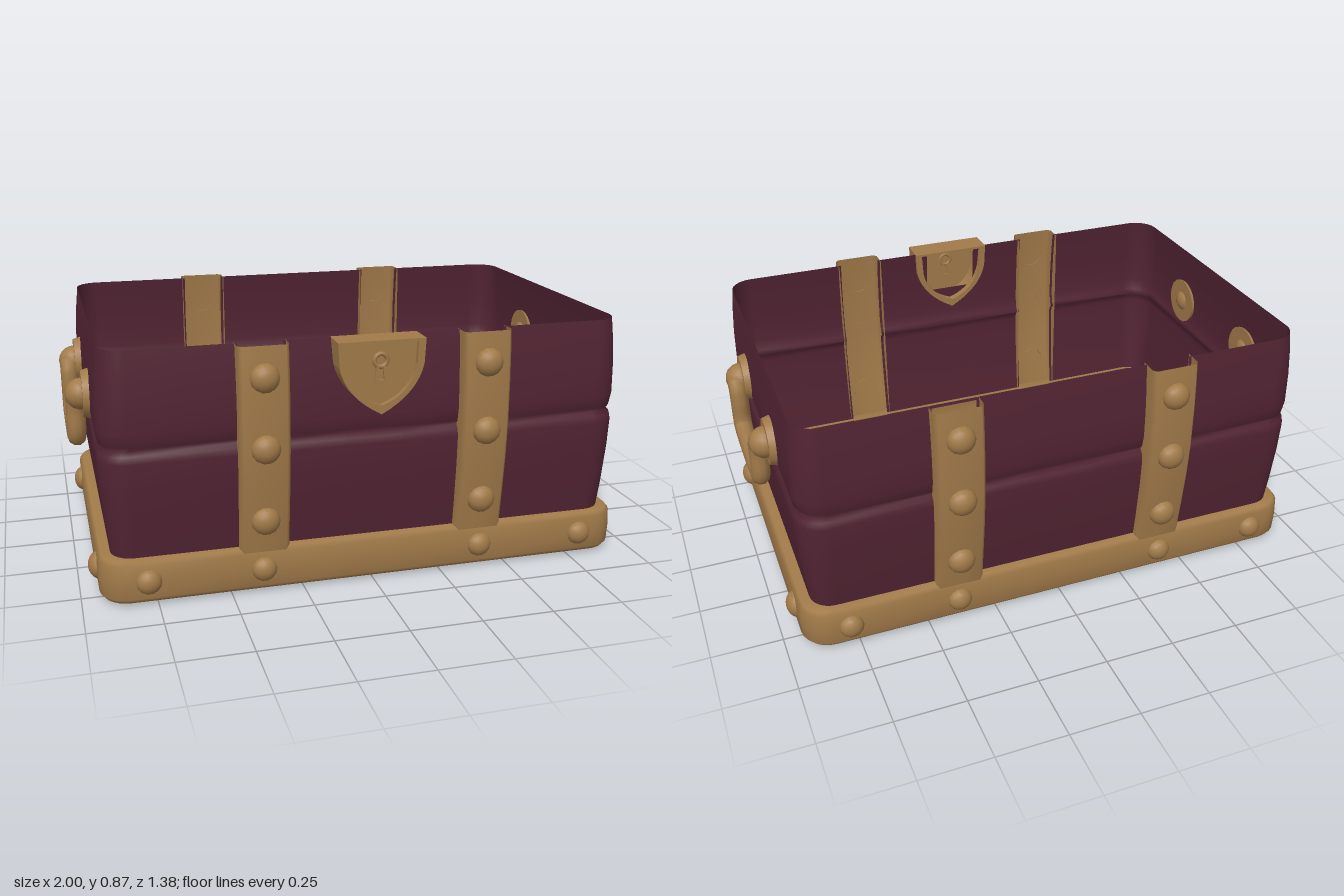
import * as THREE from 'three';

const plum = new THREE.MeshStandardMaterial({ color: 0x522433, side: THREE.DoubleSide });
plum.name = 'plum';
const gold = new THREE.MeshStandardMaterial({ color: 0xa17a49, side: THREE.DoubleSide });
gold.name = 'old gold';

const STRAP_X = 0.385, STRAP_HALF = 0.085;

function part(parent, name, geometry, material, x = 0, y = 0, z = 0) {
  const mesh = new THREE.Mesh(geometry, material);
  mesh.name = name;
  mesh.position.set(x, y, z);
  parent.add(mesh);
  return mesh;
}

// Surface through rows of points; skip(centre) leaves openings
function loft(rows, closed, skip = () => false) {
  const n = rows[0].length, index = [], c = new THREE.Vector3();
  for (let r = 0; r < rows.length - 1; r++) {
    for (let i = 0; i < (closed ? n : n - 1); i++) {
      const j = (i + 1) % n;
      c.copy(rows[r][i]).add(rows[r][j]).add(rows[r + 1][i]).add(rows[r + 1][j]).multiplyScalar(0.25);
      if (skip(c)) continue;
      const a = r * n + i, b = r * n + j;
      index.push(a, b, b + n, a, b + n, a + n);
    }
  }
  const g = new THREE.BufferGeometry().setFromPoints(rows.flat());
  g.setIndex(index);
  g.computeVertexNormals();
  return g;
}

// Rounded rectangle at height y, with fixed stops along the long sides for the openings
function ring(hx, hz, r, y) {
  const stops = [-0.46, -0.31, -0.1, 0.1, 0.31, 0.46];
  const pts = [];
  const corner = (sx, sz, start) => {
    for (let i = 0; i <= 6; i++) {
      const a = start - (i / 6) * Math.PI / 2;
      pts.push(new THREE.Vector3(sx * (hx - r) + r * Math.cos(a), y, sz * (hz - r) + r * Math.sin(a)));
    }
  };
  stops.forEach(x => pts.push(new THREE.Vector3(x, y, hz)));
  corner(1, 1, Math.PI / 2);
  corner(1, -1, 0);
  stops.forEach(x => pts.push(new THREE.Vector3(-x, y, -hz)));
  corner(-1, -1, -Math.PI / 2);
  corner(-1, 1, -Math.PI);
  return pts;
}

// Domed stud, dome facing +z
function stud(parent, name, r, x, y, z, turn = 0) {
  const g = new THREE.SphereGeometry(r, 14, 5, 0, Math.PI * 2, 0, Math.PI / 2);
  g.rotateX(Math.PI / 2);
  g.scale(1, 1, 0.8);
  part(parent, name, g, gold, x, y, z).rotation.y = turn;
}

function shield(inset) {
  const k = 1 - inset / 0.15;
  const s = new THREE.Shape();
  s.moveTo(-0.15 * k, 0.875 - inset * 0.35);
  s.lineTo(-0.145 * k, 0.79);
  s.quadraticCurveTo(-0.125 * k, 0.69, 0, 0.625 + inset * 1.2);
  s.quadraticCurveTo(0.125 * k, 0.69, 0.145 * k, 0.79);
  s.lineTo(0.15 * k, 0.875 - inset * 0.35);
  s.closePath();
  return s;
}

export function createModel() {
  const chest = new THREE.Group();
  chest.name = 'openChest';

  // Thin bulging walls with a groove, open behind the straps and lock
  const wall = [[0.14, -0.008], [0.25, 0.005], [0.4, 0.018], [0.5, 0.022], [0.525, 0.017], [0.54, 0.002],
    [0.555, 0.013], [0.6, 0.021], [0.7, 0.019], [0.8, 0.012], [0.875, 0.003]];
  part(chest, 'walls', loft(wall.map(([y, o]) => ring(0.9 + o, 0.583 + o, 0.08 + o, y)), true, c =>
    (Math.abs(c.z) > 0.5 && Math.abs(Math.abs(c.x) - STRAP_X) < 0.07) ||
    (c.z > 0.5 && Math.abs(c.x) < 0.09 && c.y > 0.7)), plum);

  // Gold base band
  const base = [[0.02, -0.07], [0.012, -0.035], [0.013, -0.014], [0.03, 0], [0.09, 0.003], [0.148, 0],
    [0.162, -0.012], [0.165, -0.055]];
  part(chest, 'baseBand', loft(base.map(([y, o]) => ring(0.938 + o, 0.615 + o, 0.1 + o, y)), true), gold);

  // Floor and its small nails
  part(chest, 'floor', new THREE.BoxGeometry(1.75, 0.008, 1.1), plum, 0, 0.018, 0);
  const nail = new THREE.OctahedronGeometry(0.013);
  for (const x of [-0.68, -0.48, -0.29, -0.14, 0, 0.18, 0.29, 0.46, 0.67]) {
    for (const z of [-0.35, -0.21, 0, 0.2, 0.34]) part(chest, 'floorNail', nail, gold, x, 0.014, z);
  }

  // Front and back fittings
  const strap = [[0.15, 0.612], [0.3, 0.631], [0.42, 0.645], [0.54, 0.653], [0.7, 0.653], [0.8, 0.649], [0.875, 0.643]];
  const strapRows = strap.map(([y, z]) => [
    [-STRAP_HALF, 0.57], [-STRAP_HALF, z - 0.014], [-STRAP_HALF + 0.012, z], [0, z],
    [STRAP_HALF - 0.012, z], [STRAP_HALF, z - 0.014], [STRAP_HALF, 0.57],
  ].map(([x, zz]) => new THREE.Vector3(x, y, zz)));
  const strapGeo = loft(strapRows, false);
  for (const turn of [0, Math.PI]) {
    const side = new THREE.Group();
    side.name = turn ? 'backFittings' : 'frontFittings';
    side.rotation.y = turn;
    chest.add(side);
    for (const s of [-1, 1]) {
      part(side, 'strap', strapGeo, gold, s * STRAP_X, 0, 0);
      stud(side, 'strapStud', 0.05, s * STRAP_X, 0.27, 0.625);
      stud(side, 'strapStud', 0.05, s * STRAP_X, 0.53, 0.651);
      stud(side, 'strapStud', 0.05, s * STRAP_X, 0.77, 0.649);
      for (const x of [0.39, 0.78]) stud(side, 'baseStud', 0.044, s * x, 0.09, 0.613);
    }
  }

  // Lock: shield rim, recessed panel and raised keyhole
  const lock = new THREE.Group();
  lock.name = 'lock';
  chest.add(lock);
  const rim = shield(0);
  rim.holes.push(shield(0.025));
  part(lock, 'lockRim', new THREE.ExtrudeGeometry(rim, { depth: 0.1, bevelEnabled: false, curveSegments: 8 }), gold, 0, 0, 0.575);
  part(lock, 'lockPanel', new THREE.ShapeGeometry(shield(0.02), 8), gold, 0, 0, 0.655);
  part(lock, 'keyholeRing', new THREE.TorusGeometry(0.022, 0.008, 6, 14), gold, 0, 0.805, 0.657);
  for (const s of [-1, 1]) {
    part(lock, 'keyholeSide', new THREE.BoxGeometry(0.01, 0.055, 0.014), gold, s * 0.014, 0.76, 0.657).rotation.z = s * 0.12;
  }
  part(lock, 'keyholeFoot', new THREE.BoxGeometry(0.04, 0.01, 0.014), gold, 0, 0.735, 0.657);

  // Handles and end studs
  const grip = [[0.645, 0.235], [0.63, 0.2], [0.58, 0.19], [0.505, 0.19], [0.475, 0.178], [0.465, 0.145]];
  const path = [...grip, ...grip.slice().reverse().map(([y, z]) => [y, -z])]
    .map(([y, z]) => new THREE.Vector3(0.965, y, z));
  const tube = new THREE.TubeGeometry(new THREE.CatmullRomCurve3(path), 48, 0.033, 10);
  const plate = new THREE.CylinderGeometry(0.08, 0.09, 0.035, 20);
  plate.rotateZ(-Math.PI / 2);
  for (const turn of [0, Math.PI]) {
    const end = new THREE.Group();
    end.name = turn ? 'rightEnd' : 'leftEnd';
    end.rotation.y = turn;
    chest.add(end);
    part(end, 'handle', tube, gold);
    for (const s of [-1, 1]) {
      part(end, 'handlePlate', plate, gold, 0.925, 0.645, s * 0.237);
      part(end, 'handleKnob', new THREE.SphereGeometry(0.055, 14, 10), gold, 0.945, 0.645, s * 0.237);
      stud(end, 'endStud', 0.05, 0.928, 0.09, s * 0.433, Math.PI / 2);
    }
  }
  return chest;
}
